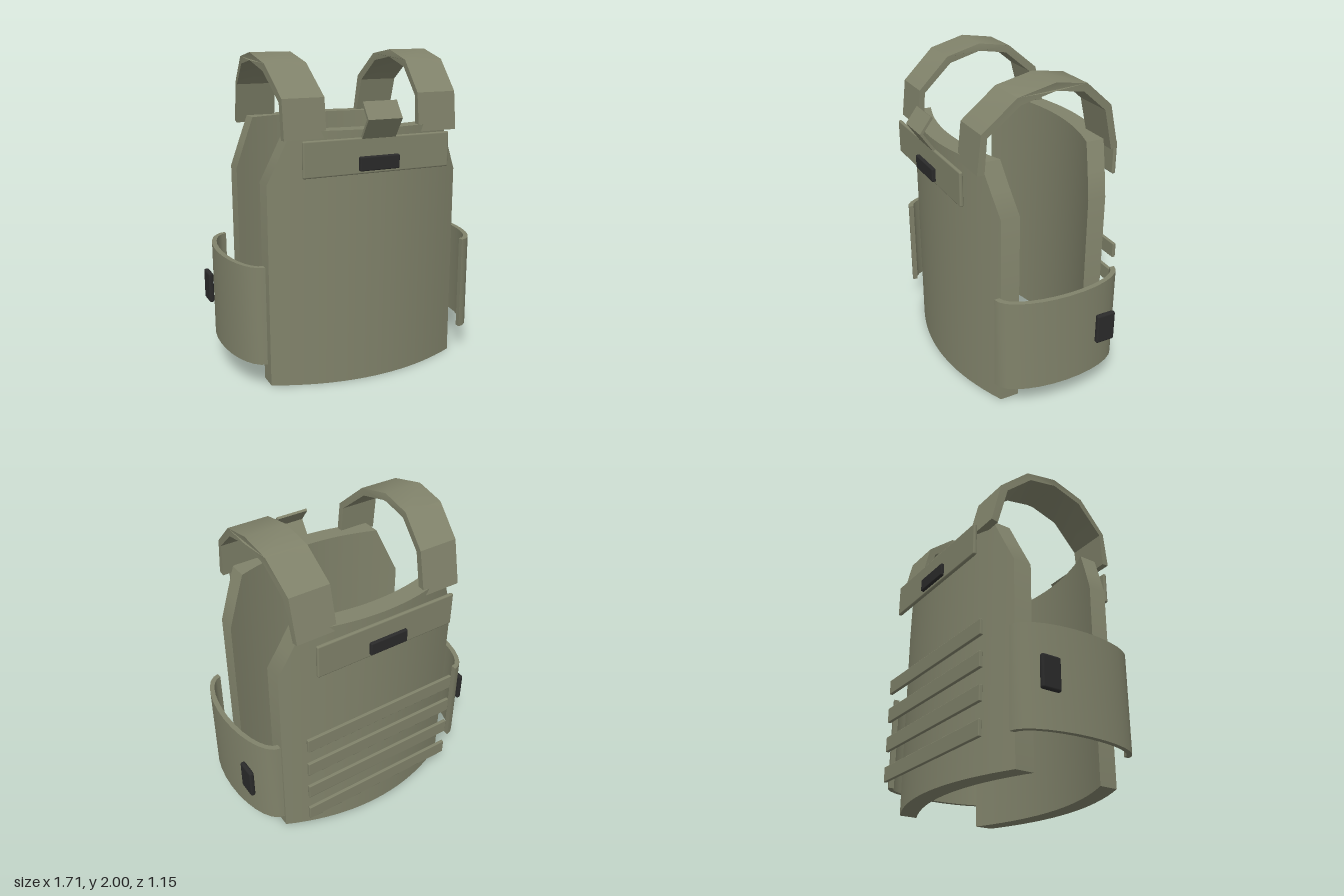
import * as THREE from 'three';
import { toCreasedNormals } from 'three/addons/utils/BufferGeometryUtils.js';
import { RoundedBoxGeometry } from 'three/addons/geometries/RoundedBoxGeometry.js';

const fabric = new THREE.MeshStandardMaterial({ color: 0x80826a });
const black = new THREE.MeshStandardMaterial({ color: 0x2a2a2a });

function add(parent, name, geometry, material = fabric) {
  const mesh = new THREE.Mesh(geometry, material);
  mesh.name = name;
  parent.add(mesh);
  return mesh;
}

// Rounded box given by its limits on each axis
function slab(parent, name, [x0, x1], [y0, y1], [z0, z1], radius, material) {
  const geo = new RoundedBoxGeometry(x1 - x0, y1 - y0, z1 - z0, 2, radius);
  geo.translate((x0 + x1) / 2, (y0 + y1) / 2, (z0 + z1) / 2);
  return add(parent, name, geo, material);
}

// Closed outline of [z, y] points, extruded along x
function sideExtrude(points, x0, width) {
  const shape = new THREE.Shape(points.map(([z, y]) => new THREE.Vector2(-z, y)));
  const geo = new THREE.ExtrudeGeometry(shape, { depth: width, bevelEnabled: false });
  return geo.rotateY(Math.PI / 2).translate(x0, 0, 0);
}

// Curved body plate with sloped upper corners; side is 1 for front, -1 for back
function plateGeometry(side, centreZ) {
  const geo = new THREE.BoxGeometry(2, 1, 0.12, 20, 1, 1);
  const p = geo.attributes.position;
  for (let i = 0; i < p.count; i++) {
    const u = Math.abs(p.getX(i));
    const corner = Math.max(0, (u - 0.8) / 0.2);
    const x = Math.min(u, 0.8) * 0.625 + corner * 0.135;
    const y = p.getY(i) > 0 ? 1.573 - 0.313 * corner : 0;
    const z = centreZ + p.getZ(i) - side * 0.372 * x * x;
    p.setXYZ(i, Math.sign(p.getX(i)) * x, y, z);
  }
  return toCreasedNormals(geo, 0.5);
}

// Arched shoulder strap, bowing slightly outward at its top
function strapGeometry(s) {
  const outer = [[0.432, 1.53], [0.405, 1.762], [0.2, 1.945], [-0.027, 2], [-0.235, 1.967], [-0.422, 1.807], [-0.487, 1.537]];
  const inner = [[0.387, 1.525], [0.37, 1.74], [0.18, 1.902], [-0.027, 1.953], [-0.213, 1.922], [-0.378, 1.782], [-0.443, 1.527]];
  const geo = sideExtrude([...outer, ...inner.reverse()], s > 0 ? 0.305 : -0.565, 0.26);
  const p = geo.attributes.position;
  for (let i = 0; i < p.count; i++) {
    const t = (p.getZ(i) + 0.027) / 0.42;
    p.setX(i, p.getX(i) + s * 0.037 * Math.max(0, 1 - t * t));
  }
  return toCreasedNormals(geo, 0.6);
}

// Half-ellipse side panel, extruded upward
function sidePanelGeometry(s) {
  const n = 14, points = [];
  const arc = (rx, rz, t) => new THREE.Vector2(s * (0.678 + rx * Math.cos(t)), 0.028 + rz * Math.sin(t));
  for (let i = 0; i <= n; i++) points.push(arc(0.167, 0.415, (i / n - 0.5) * Math.PI));
  for (let i = n; i >= 0; i--) points.push(arc(0.135, 0.38, (i / n - 0.5) * Math.PI));
  const geo = new THREE.ExtrudeGeometry(new THREE.Shape(points), { depth: 0.61, bevelEnabled: false });
  return toCreasedNormals(geo.rotateX(-Math.PI / 2).translate(0, 0.18, 0), 0.6);
}

export function createModel() {
  const vest = new THREE.Group();
  vest.name = 'plateVest';

  // Body plates
  add(vest, 'frontPlate', plateGeometry(1, 0.41));
  add(vest, 'backPlate', plateGeometry(-1, -0.465));

  // Chest and upper back panels with their buckles
  slab(vest, 'frontPanel', [-0.477, 0.477], [1.315, 1.53], [0.473, 0.497], 0.01);
  slab(vest, 'frontBuckle', [-0.13, 0.13], [1.335, 1.42], [0.485, 0.52], 0.008, black);
  slab(vest, 'backPanel', [-0.477, 0.477], [1.315, 1.53], [-0.555, -0.53], 0.01);
  slab(vest, 'backBuckle', [-0.13, 0.13], [1.335, 1.42], [-0.575, -0.543], 0.008, black);

  // Folded pull tab above the chest panel
  const tab = [[0.478, 1.525], [0.492, 1.515], [0.577, 1.64], [0.503, 1.738], [0.49, 1.728], [0.556, 1.64]];
  add(vest, 'pullTab', sideExtrude(tab, -0.11, 0.22));

  // Webbing rows across the back
  for (let i = 0; i < 4; i++) {
    const y = 0.17 + i * 0.197;
    slab(vest, 'webbingRow', [-0.547, 0.547], [y, y + 0.097], [-0.546, -0.524], 0.004);
  }

  // Straps, side panels and side buckles, mirrored
  for (const s of [1, -1]) {
    const label = s > 0 ? 'left' : 'right';
    add(vest, label + 'ShoulderStrap', strapGeometry(s));
    add(vest, label + 'SidePanel', sidePanelGeometry(s));
    const xs = s > 0 ? [0.822, 0.855] : [-0.855, -0.822];
    slab(vest, label + 'SideBuckle', xs, [0.385, 0.585], [-0.353, -0.225], 0.014, black);
  }
  return vest;
}
